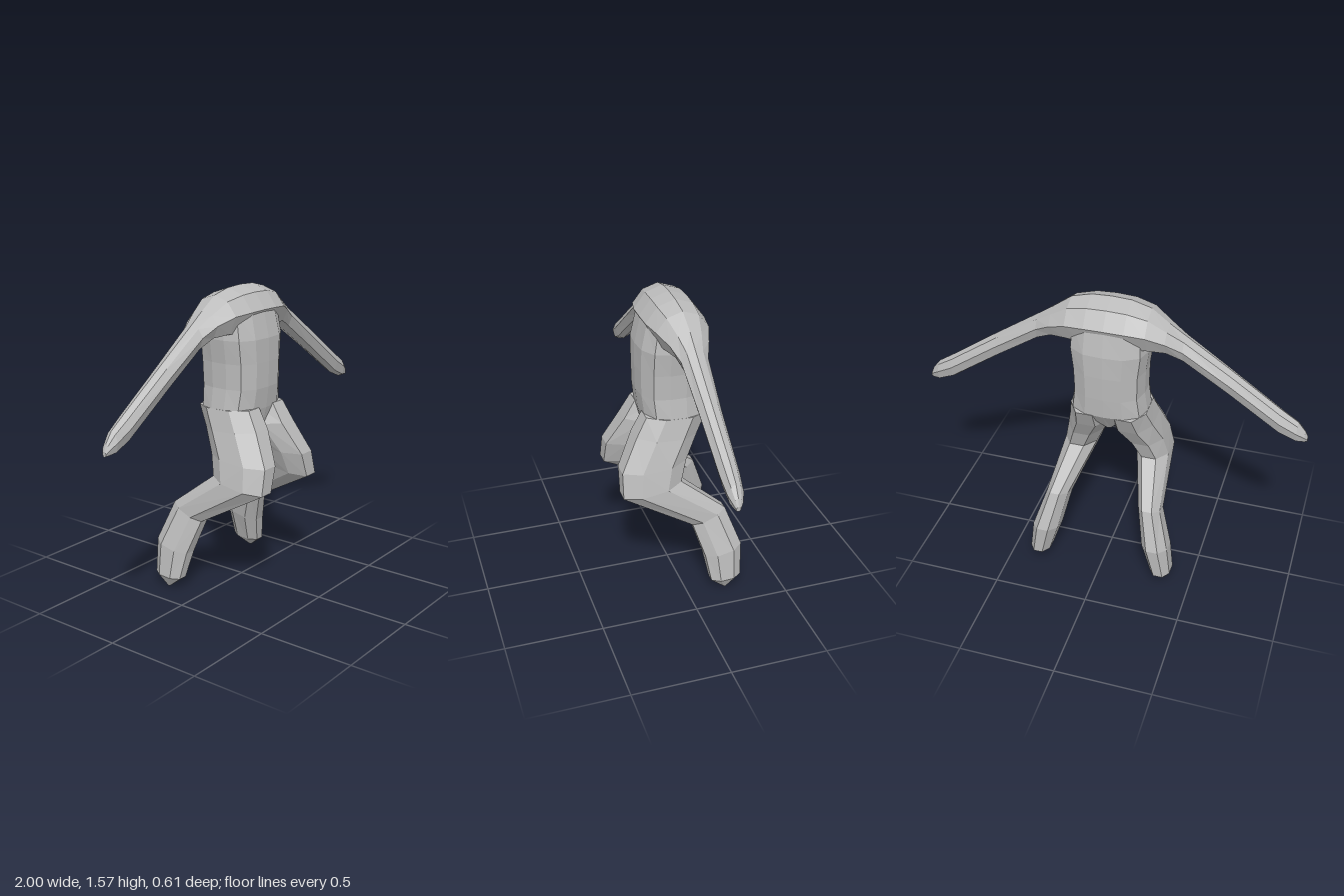
import * as THREE from 'three';

// Skin a list of rings (equal point counts) and close both ends; faces are turned outward
function loft(name, rings, material) {
  const tris = [];
  const n = rings[0].length;
  for (let i = 0; i < rings.length - 1; i++) {
    for (let j = 0; j < n; j++) {
      const k = (j + 1) % n;
      const a = rings[i][j], b = rings[i][k], c = rings[i + 1][k], d = rings[i + 1][j];
      tris.push([a, b, c], [a, c, d]);
    }
  }
  const centre = (r) => r.reduce((s, p) => s.add(p), new THREE.Vector3()).divideScalar(n);
  const first = rings[0], last = rings[rings.length - 1];
  const c0 = centre(first), c1 = centre(last);
  for (let j = 0; j < n; j++) {
    const k = (j + 1) % n;
    tris.push([c0, first[k], first[j]], [c1, last[j], last[k]]);
  }
  const volume = tris.reduce((s, [a, b, c]) => s + a.dot(b.clone().cross(c)), 0);
  const pos = [];
  for (const [a, b, c] of tris) {
    for (const p of volume > 0 ? [a, b, c] : [a, c, b]) pos.push(p.x, p.y, p.z);
  }
  const geo = new THREE.BufferGeometry();
  geo.setAttribute('position', new THREE.Float32BufferAttribute(pos, 3));
  geo.computeVertexNormals();
  const mesh = new THREE.Mesh(geo, material);
  mesh.name = name;
  return mesh;
}

export function createModel() {
  const group = new THREE.Group();
  group.name = 'headlessFigure';
  const grey = new THREE.MeshStandardMaterial({ color: 0xbbbbbb, flatShading: true });
  grey.name = 'plain grey';
  const V = (x, y, z) => new THREE.Vector3(x, y, z);

  // Torso: [y, half width, front z, back z]
  const bodyShape = [
    [0, 1], [0.5, 0.96], [0.88, 0.7], [1, 0.25], [1, -0.25], [0.88, -0.7], [0.5, -0.96],
    [0, -1], [-0.5, -0.96], [-0.88, -0.7], [-1, -0.25], [-1, 0.25], [-0.88, 0.7], [-0.5, 0.96],
  ];
  const torso = [
    [1.45, 0.19, 0.14, -0.15],
    [1.32, 0.2, 0.17, -0.175],
    [1.2, 0.185, 0.172, -0.175],
    [1.07, 0.182, 0.17, -0.17],
    [0.96, 0.198, 0.157, -0.162],
    [0.84, 0.03, 0.13, -0.08],
  ].map(([y, w, f, b]) => bodyShape.map(([u, v]) => V(u * w, y, (f + b) / 2 + v * (f - b) / 2)));
  group.add(loft('torso', torso, grey));

  // Shoulders and arms in one sweep: [x, top y, bottom y, front z, back z]
  const armShape = [
    [0, 1], [0.6, 0.75], [1, 0.1], [0.7, -0.75], [0, -1], [-0.7, -0.75], [-1, 0.1], [-0.6, 0.75],
  ];
  const half = [
    [0.1, 1.565, 1.32, 0.142, -0.157],
    [0.2, 1.54, 1.33, 0.12, -0.145],
    [0.29, 1.475, 1.33, 0.08, -0.115],
    [0.37, 1.42, 1.29, 0.052, -0.083],
    [0.6, 1.265, 1.135, 0.042, -0.067],
    [0.86, 1.085, 0.955, 0.035, -0.06],
    [0.945, 1.028, 0.918, 0.03, -0.048],
    [0.985, 0.978, 0.918, 0.017, -0.03],
    [1, 0.945, 0.92, 0.008, -0.015],
  ];
  const mirrored = half.map(([x, ...rest]) => [-x, ...rest]).reverse();
  const arms = [...mirrored, [0, 1.57, 1.32, 0.145, -0.16], ...half].map(([x, t, bt, f, b]) =>
    armShape.map(([u, v]) => V(x, (t + bt) / 2 + v * (t - bt) / 2, (f + b) / 2 + u * (f - b) / 2)));
  group.add(loft('shouldersAndArms', arms, grey));

  // Bent legs: [front z, front y, back z, back y, inner x, outer x]
  const legShape = [
    [0.45, 1], [1, 0.45], [1, -0.45], [0.45, -1], [-0.45, -1], [-1, -0.45], [-1, 0.45], [-0.45, 1],
  ];
  const legRows = [
    [0.155, 0.97, -0.16, 0.96, 0.005, 0.198],
    [0.212, 0.87, -0.105, 0.85, 0, 0.222],
    [0.3, 0.705, -0.035, 0.73, 0.062, 0.26],
    [0.305, 0.575, 0, 0.625, 0.112, 0.285],
    [-0.05, 0.375, -0.225, 0.45, 0.195, 0.31],
    [-0.105, 0.2, -0.3, 0.245, 0.235, 0.372],
    [-0.13, 0.06, -0.29, 0.07, 0.285, 0.392],
    [-0.2, 0.004, -0.215, 0.004, 0.35, 0.362],
  ];
  for (const side of [1, -1]) {
    const rings = legRows.map(([fz, fy, bz, by, xi, xo]) => legShape.map(([u, v]) => V(
      side * ((xi + xo) / 2 + u * (xo - xi) / 2),
      (fy + by) / 2 + v * (fy - by) / 2,
      (fz + bz) / 2 + v * (fz - bz) / 2,
    )));
    group.add(loft(side > 0 ? 'leftLeg' : 'rightLeg', rings, grey));
  }
  return group;
}
